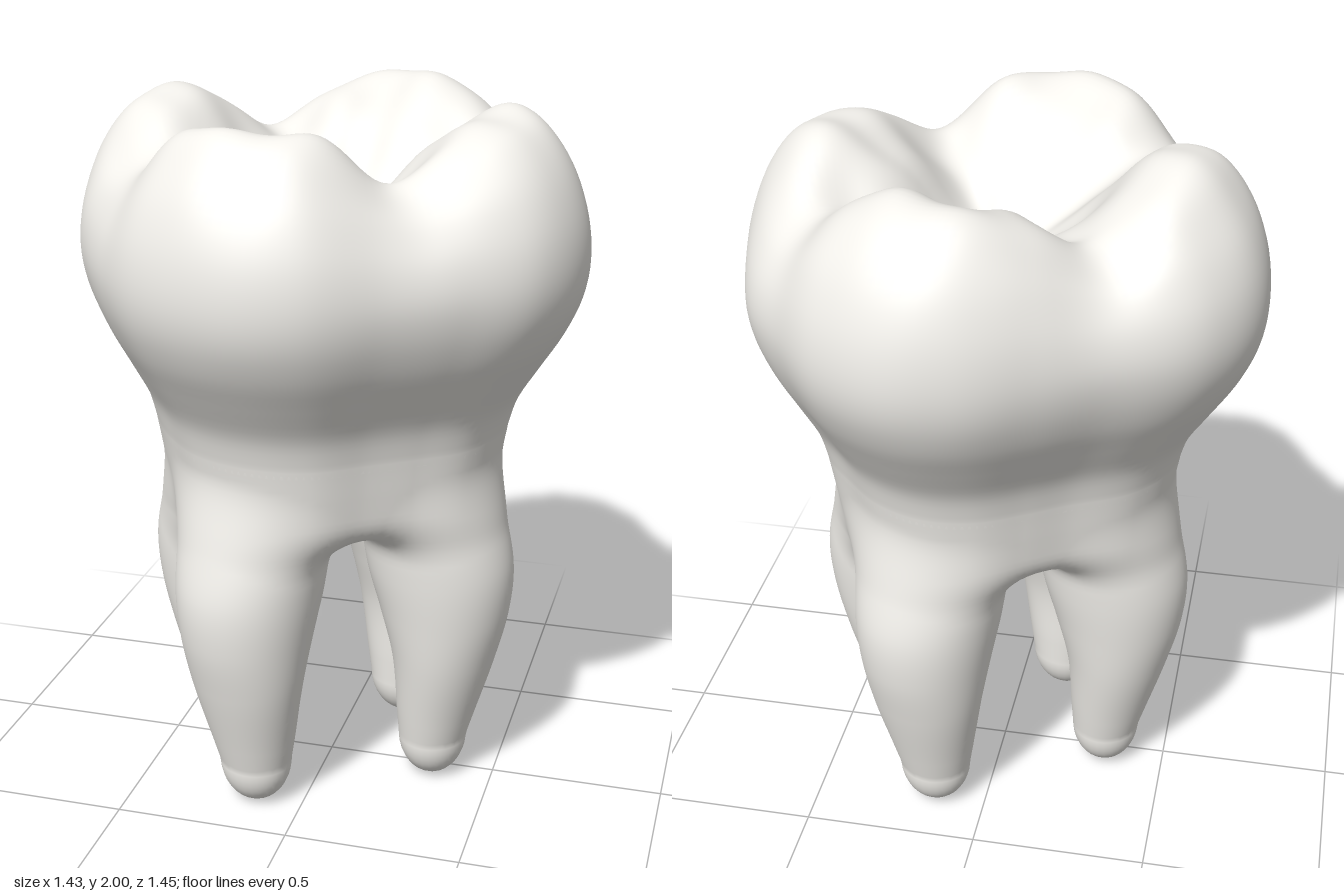
import * as THREE from 'three';
import { mergeVertices } from 'three/addons/utils/BufferGeometryUtils.js';

const enamel = new THREE.MeshStandardMaterial({ color: 0xf3f1ec });
const rad = THREE.MathUtils.degToRad;

// Smooth curve through rows whose first number is the parameter
function curveThrough(rows) {
  return new THREE.CubicInterpolant(rows.map((r) => r[0]), rows.flatMap((r) => r.slice(1)), rows[0].length - 1);
}

// Widest outline of the crown, seen from above (x, z), as radius by angle
const outlineRows = [
  [0.715, 0.05], [0.635, 0.3], [0.46, 0.455], [0.3, 0.565], [0.1, 0.695], [-0.08, 0.72],
  [-0.35, 0.625], [-0.49, 0.475], [-0.6, 0.31], [-0.66, 0.2], [-0.71, 0], [-0.7, -0.18],
  [-0.6, -0.355], [-0.35, -0.515], [-0.2, -0.61], [0, -0.71], [0.17, -0.72], [0.36, -0.635],
  [0.5, -0.485], [0.61, -0.35], [0.68, -0.15],
].map(([x, z]) => [(Math.atan2(z, x) + Math.PI * 2) % (Math.PI * 2), Math.hypot(x, z)]);
const turned = (rows, turn) => rows.map(([a, r]) => [a + turn * Math.PI * 2, r]);
const outline = curveThrough([
  ...turned(outlineRows.slice(-3), -1), ...outlineRows, ...turned(outlineRows.slice(0, 3), 1)]);
const outlineRadius = (angle) => outline.evaluate((angle + Math.PI * 2) % (Math.PI * 2))[0];

// Crown rings, upwards and then in: outline scale, height, valley depth, groove, wrinkle, web
const crownRows = [
  [0.689, 1.08, 0, 0, 0, 1],
  [0.70, 1.12, 0, 0, 0, 1],
  [0.74, 1.2, 0, 0, 0, 0.8],
  [0.83, 1.3, 0, 0, 0, 0.4],
  [0.92, 1.4, 0, 0, 0, 0.1],
  [0.98, 1.5, 0, 0, 0.1, 0],
  [1.0, 1.6, 0.05, 0, 0.2, 0],
  [0.985, 1.71, 0.2, 0.3, 0.3, 0],
  [0.935, 1.82, 0.45, 0.8, 0.4, 0],
  [0.86, 1.91, 0.75, 1, 0.5, 0],
  [0.77, 1.975, 0.95, 0.8, 0.6, 0],
  [0.67, 1.995, 1, 0.5, 0.8, 0],
  [0.55, 1.965, 0.95, 0.2, 1, 0],
  [0.40, 1.88, 0.65, 0, 1, 0],
  [0.26, 1.775, 0.3, 0, 1, 0],
  [0.12, 1.70, 0.07, 0, 0.8, 0],
  [0, 1.675, 0, 0, 0, 0],
];

// Soft bump of height 1 around an angle, repeated half a turn away
function bump(angle, centre, width) {
  const d = Math.asin(Math.sin(angle - rad(centre)));
  return Math.exp(-((d / rad(width)) ** 2));
}

// Thickening of the neck above the two closely set root pairs
const webRadius = (angle) => 1 + 0.05 * bump(angle, 148, 35);

function crownPoint([scale, height, valley, groove, wrinkle, web], angle) {
  const wide = bump(angle, 52, 22), narrow = bump(angle, 145, 18);
  const r = outlineRadius(angle) * scale * (1 - groove * (0.045 * wide + 0.03 * narrow))
    * THREE.MathUtils.lerp(1, webRadius(angle), web);
  const x = r * Math.cos(angle), z = r * Math.sin(angle);
  // Fine unevenness of the chewing surface
  const ripple = Math.sin(13 * x + 5 * z + 1) * Math.sin(11 * z - 6 * x)
    + 0.6 * Math.sin(23 * x - 9 * z) * Math.sin(19 * z + 8 * x + 2);
  const y = height - valley * (0.14 * wide + 0.13 * narrow) + 0.016 * wrinkle * (ripple - 0.3);
  return [x, Math.min(y, 2), z];
}

// Crown skinned over closed rings
function makeCrown() {
  const sides = 160, steps = 4, last = (crownRows.length - 1) * steps;
  const rings = curveThrough(crownRows.map((row, i) => [i, ...row]));
  const positions = [], index = [];
  for (let i = 0; i <= last; i++) {
    const row = [...rings.evaluate(i / steps)];
    for (let j = 0; j < sides; j++) {
      positions.push(...crownPoint(row, (j / sides) * Math.PI * 2));
      if (i === last) continue;
      const a = i * sides + j, b = i * sides + (j + 1) % sides;
      index.push(a, a + sides, b, b, a + sides, b + sides);
    }
  }
  let geometry = new THREE.BufferGeometry();
  geometry.setAttribute('position', new THREE.Float32BufferAttribute(positions, 3));
  geometry.setIndex(index);
  geometry = mergeVertices(geometry, 1e-5);
  geometry.computeVertexNormals();
  return new THREE.Mesh(geometry, enamel);
}

// Root sections: height, distance from the axis, radial radius, sideways radius
const tipHeight = 0.13;
const rootSection = curveThrough([
  [0.13, 0.322, 0.1, 0.106],
  [0.2, 0.33, 0.113, 0.122],
  [0.4, 0.352, 0.15, 0.165],
  [0.55, 0.35, 0.187, 0.188],
  [0.68, 0.335, 0.21, 0.205],
  [0.8, 0.314, 0.209, 0.215],
  [0.92, 0.281, 0.205, 0.215],
  [1.0, 0.245, 0.195, 0.2],
  [1.1, 0.18, 0.17, 0.17],
]);
// Left, front, right and back root: angle and extra distance from the axis
const roots = [[6, 0], [114, 0.025], [186, 0], [296, 0.025]]
  .map(([degrees, out]) => [Math.cos(rad(degrees)), Math.sin(rad(degrees)), out]);

// Neck: height, outline scale
const neckScale = curveThrough([
  [0.7, 0.58], [0.8, 0.61], [0.85, 0.63], [0.92, 0.65], [1.0, 0.67], [1.08, 0.689], [1.12, 0.70], [1.2, 0.74]]);

// Minimum of two distances with a soft fillet
function softMin(a, b, k = 0.09) {
  return Math.min(a, b) - (k / 4) * Math.max(0, 1 - Math.abs(a - b) / k) ** 2;
}

// Approximate distance to the neck and its four roots
function rootField({ x, y, z }) {
  const angle = Math.atan2(z, x), r = Math.hypot(x, z);
  const side = r - outlineRadius(angle) * neckScale.evaluate(y)[0] * webRadius(angle);
  const bottom = 0.84 - 0.12 * bump(angle, 150, 25) * Math.min(1, r / 0.35) ** 2;
  let d = -softMin(-side, y - bottom);
  const [distance, radial, sideways] = rootSection.evaluate(y);
  const below = Math.max(0, 1 - y / tipHeight);
  for (const [c, s, out] of roots) {
    const u = (x * c + z * s - distance - out) / radial, v = (z * c - x * s) / sideways;
    d = softMin(d, (Math.hypot(u, v, below) - 1) * Math.min(radial, sideways));
  }
  return d;
}

// Skin the zero level of a field: one vertex per crossed grid cell, pulled onto the surface
function skinField(field, min, size, cell) {
  const stride = [1, size[0], size[0] * size[1]];
  const coords = (id) => stride.map((s, a) => Math.floor(id / s) % size[a]);
  const at = (id) => new THREE.Vector3(...coords(id)).multiplyScalar(cell).add(min);
  const axes = [0, 1, 2].map((a) => new THREE.Vector3().setComponent(a, 0.003));
  const gradient = (p) => new THREE.Vector3(
    ...axes.map((e) => (field(p.clone().add(e)) - field(p.clone().sub(e))) / 0.006));
  const positions = [], normals = [], index = [], made = new Map();
  const vertex = (id) => {
    if (!made.has(id)) {
      made.set(id, made.size);
      const p = at(id).addScalar(cell / 2);
      for (let i = 0; i < 4; i++) {
        const g = gradient(p);
        p.addScaledVector(g, -field(p) / g.lengthSq());
      }
      positions.push(...p);
      normals.push(...gradient(p).normalize());
    }
    return made.get(id);
  };
  const values = Float32Array.from({ length: stride[2] * size[2] }, (_, id) => field(at(id)));
  values.forEach((value, id) => {
    const g = coords(id);
    for (let a = 0; a < 3; a++) {
      const b = (a + 1) % 3, c = (a + 2) % 3;
      const edge = g[a] === size[a] - 1 || [b, c].some((n) => g[n] === 0 || g[n] === size[n] - 1);
      if (edge || (value < 0) === (values[id + stride[a]] < 0)) continue;
      const quad = [id - stride[b] - stride[c], id - stride[c], id, id - stride[b]].map(vertex);
      if (value >= 0) quad.reverse();
      index.push(quad[0], quad[1], quad[2], quad[0], quad[2], quad[3]);
    }
  });
  const geometry = new THREE.BufferGeometry();
  geometry.setAttribute('position', new THREE.Float32BufferAttribute(positions, 3));
  geometry.setAttribute('normal', new THREE.Float32BufferAttribute(normals, 3));
  geometry.setIndex(index);
  return new THREE.Mesh(geometry, enamel);
}

export function createModel() {
  const group = new THREE.Group();
  group.name = 'molarTooth';
  const crown = makeCrown();
  crown.name = 'crown';
  const neckAndRoots = skinField(rootField, new THREE.Vector3(-0.62, -0.03, -0.62), [63, 58, 63], 0.02);
  neckAndRoots.name = 'neckAndRoots';
  group.add(crown, neckAndRoots);
  return group;
}
